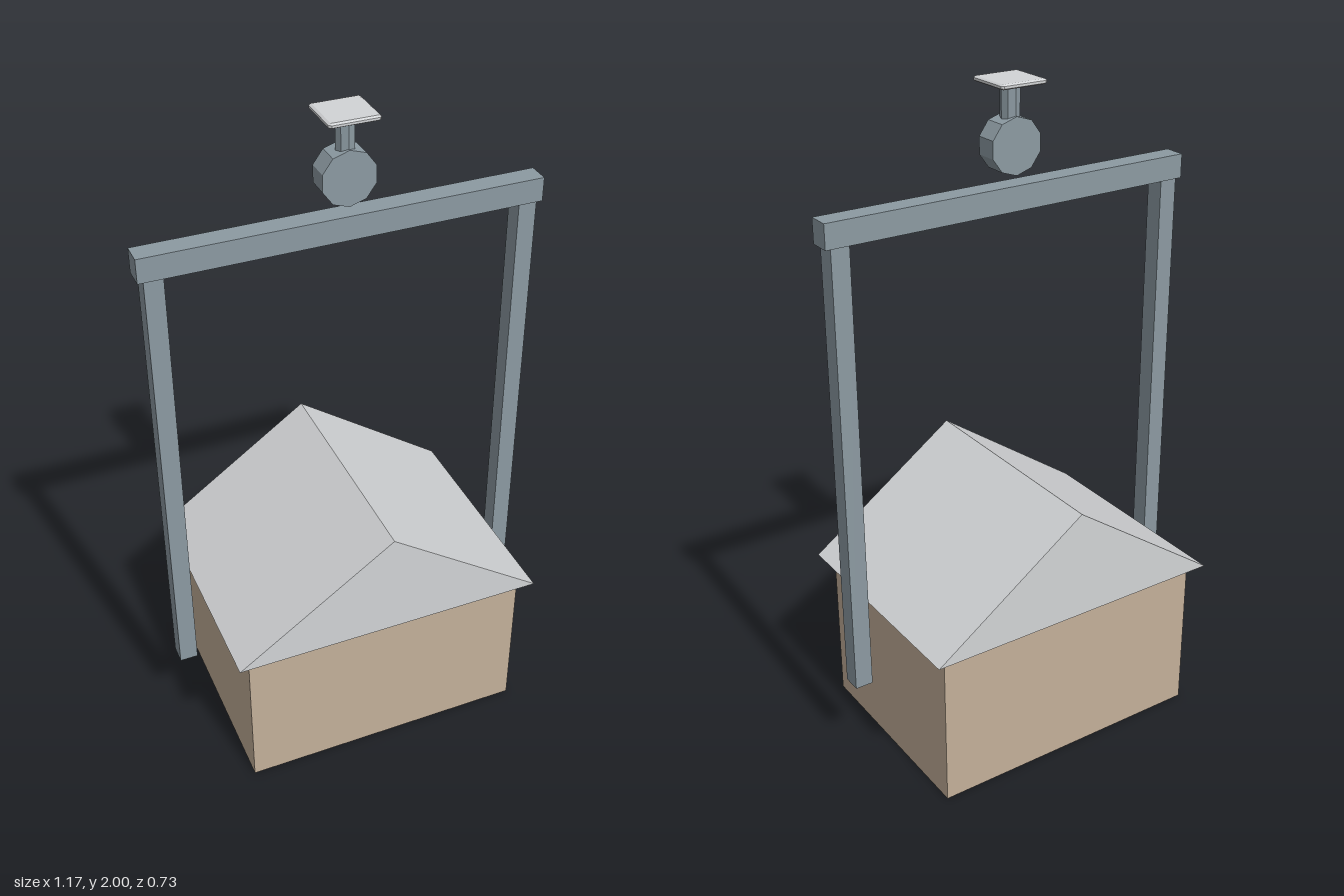
import * as THREE from 'three';
import { ConvexGeometry } from 'three/addons/geometries/ConvexGeometry.js';

const material = (name, color) => {
  const m = new THREE.MeshStandardMaterial({ color });
  m.name = name;
  m.flatShading = true;
  return m;
};

export function createModel() {
  const group = new THREE.Group();
  const tan = material('tan wall', 0xc4b09a);
  const pale = material('pale grey', 0xd2d4d6);
  const steel = material('blue grey steel', 0x8c9aa2);

  const add = (name, geometry, mat, x = 0, y = 0, z = 0) => {
    const mesh = new THREE.Mesh(geometry, mat);
    mesh.name = name;
    mesh.position.set(x, y, z);
    group.add(mesh);
    return mesh;
  };

  // House body
  add('walls', new THREE.BoxGeometry(0.884, 0.5, 0.654), tan, 0, 0.25);

  // Gable roof with overhanging eaves
  const gable = new THREE.Shape();
  gable.moveTo(-0.481, 0);
  gable.lineTo(0.481, 0);
  gable.lineTo(0, 0.338);
  gable.closePath();
  const roof = new THREE.ExtrudeGeometry(gable, { depth: 0.728, bevelEnabled: false });
  add('roof', roof, pale, 0, 0.5, -0.364);

  // Portal frame
  for (const [name, side] of [['leftPost', 1], ['rightPost', -1]]) {
    add(name, new THREE.BoxGeometry(0.055, 1.385, 0.058), steel, side * 0.543, 0.9575);
  }
  add('crossbeam', new THREE.BoxGeometry(1.174, 0.072, 0.066), steel, 0, 1.674);

  // Ten-sided wheel and its stem
  const wheel = new THREE.CylinderGeometry(0.081, 0.081, 0.068, 10);
  wheel.rotateX(Math.PI / 2);
  add('wheel', wheel, steel, 0, 1.82);
  add('stem', new THREE.CylinderGeometry(0.028, 0.028, 0.13, 8), steel, 0, 1.925);

  // Top plate with chamfered edges and corners
  const half = 0.073, halfY = 0.0075, cut = 0.007, cutY = 0.004;
  const points = [];
  for (const x of [-1, 1]) for (const y of [-1, 1]) for (const z of [-1, 1]) {
    points.push(
      new THREE.Vector3(x * half, y * (halfY - cutY), z * (half - cut)),
      new THREE.Vector3(x * (half - cut), y * halfY, z * (half - cut)),
      new THREE.Vector3(x * (half - cut), y * (halfY - cutY), z * half)
    );
  }
  add('topPlate', new ConvexGeometry(points), pale, 0, 2 - halfY);

  return group;
}
